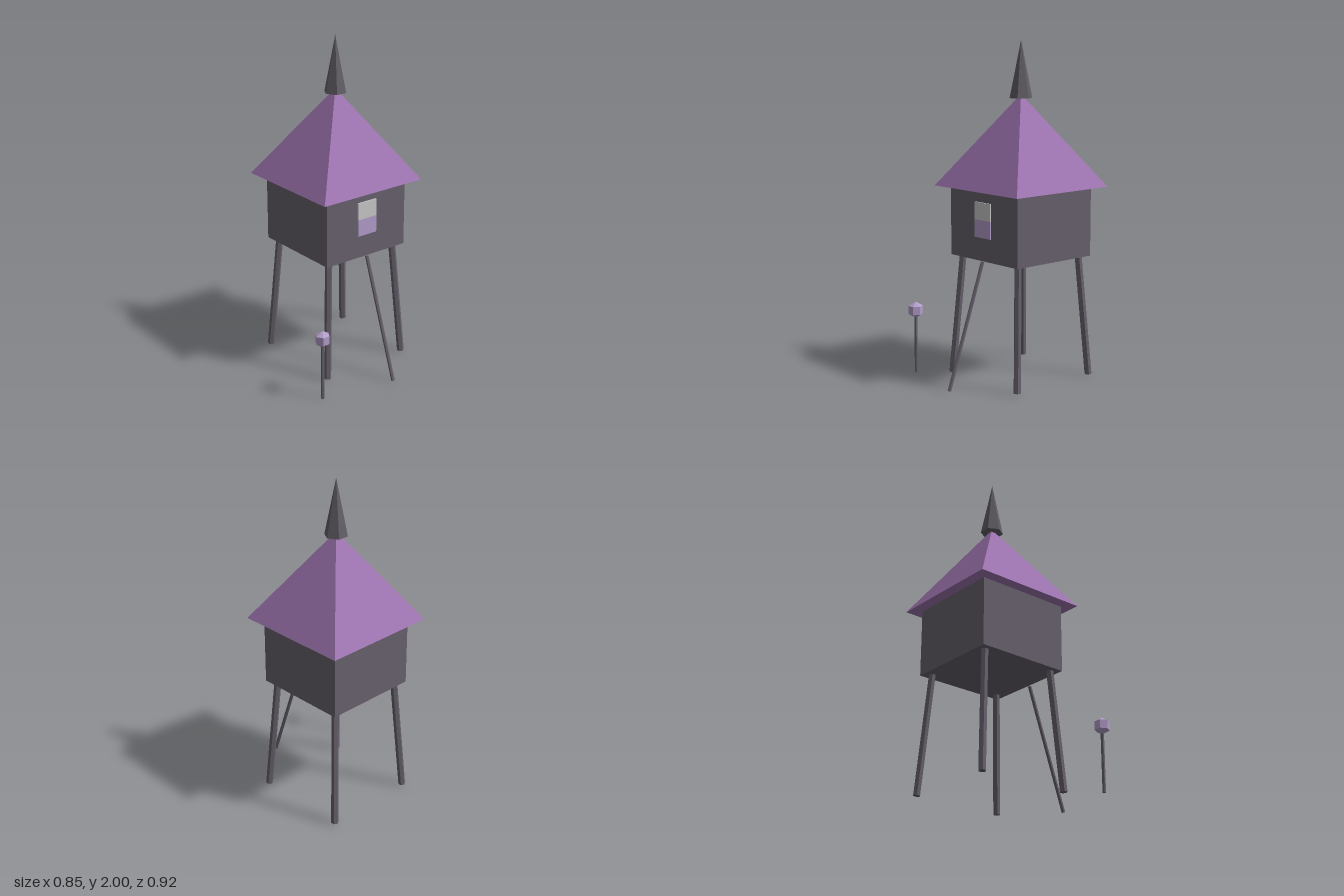
import * as THREE from 'three';

export function createModel() {
  const model = new THREE.Group();
  model.name = 'stiltHouse';

  const mat = (name, color) => {
    const m = new THREE.MeshStandardMaterial({ color, flatShading: true });
    m.name = name;
    return m;
  };
  const timber = mat('timber', 0x66606b);
  const slate = mat('slate', 0x625e66);
  const roofPurple = mat('roofPurple', 0x9e74b0);
  const lilac = mat('lilac', 0xb19dc8);
  const pale = mat('paleGlass', 0xc8c8c7);

  const add = (name, geometry, material, x, y, z, parent = model) => {
    const mesh = new THREE.Mesh(geometry, material);
    mesh.name = name;
    mesh.position.set(x, y, z);
    parent.add(mesh);
    return mesh;
  };

  // Straight six-sided pole between two points
  const pole = (name, from, to, radius, parent) => {
    const a = new THREE.Vector3(...from);
    const dir = new THREE.Vector3(...to).sub(a);
    const mid = a.clone().addScaledVector(dir, 0.5);
    const geo = new THREE.CylinderGeometry(radius, radius, dir.length(), 6);
    const mesh = add(name, geo, timber, mid.x, mid.y, mid.z, parent);
    mesh.quaternion.setFromUnitVectors(new THREE.Vector3(0, 1, 0), dir.normalize());
  };

  // House group, offset from the lamp post
  const house = new THREE.Group();
  house.name = 'house';
  house.position.set(0.064, 0, -0.1);
  model.add(house);

  add('cabin', new THREE.BoxGeometry(0.583, 0.42, 0.583), timber, 0, 0.942, 0, house);

  // Square pyramid roof
  const roof = new THREE.ConeGeometry(0.36 * Math.SQRT2, 0.54, 4);
  roof.rotateY(Math.PI / 4);
  add('roof', roof, roofPurple, 0, 1.415, 0, house);

  // Six-sided spire, corners towards the sides
  const spire = new THREE.ConeGeometry(0.068, 0.336, 6);
  spire.rotateY(Math.PI / 6);
  add('spire', spire, slate, 0, 1.83, 0, house);

  // Window: pale upper pane, lilac lower pane
  add('windowUpperPane', new THREE.BoxGeometry(0.136, 0.103, 0.009), pale, 0, 1.024, 0.296, house);
  add('windowLowerPane', new THREE.BoxGeometry(0.136, 0.103, 0.009), lilac, 0, 0.921, 0.296, house);

  // Splayed legs
  for (const sx of [-1, 1]) {
    for (const sz of [-1, 1]) {
      pole('leg', [sx * 0.289, 0.008, sz * 0.289], [sx * 0.241, 0.74, sz * 0.241], 0.0215, house);
    }
  }

  // Leaning access pole at the front
  pole('ramp', [0, 0.008, 0.552], [0, 0.73, 0.298], 0.011, house);

  // Lamp on a post
  pole('lampPost', [-0.383, 0, 0.345], [-0.383, 0.36, 0.345], 0.01, model);
  add('lampHead', new THREE.SphereGeometry(0.05, 6, 3), lilac, -0.383, 0.388, 0.345);

  return model;
}
